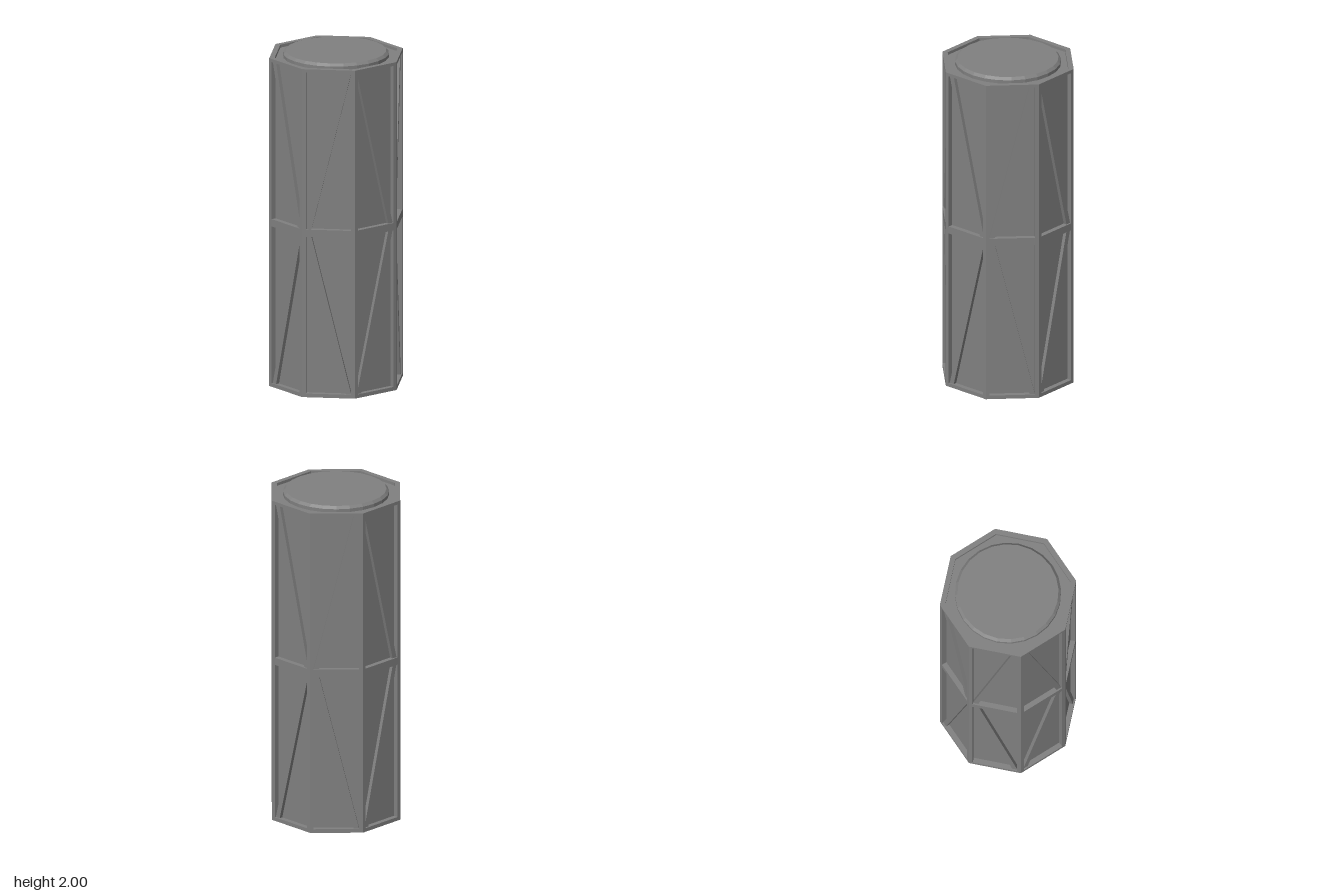
import * as THREE from 'three';

const SIDES = 8, OUT = 0.37, IN = 0.34;      // apothems of frame and core
const HALF = OUT * Math.tan(Math.PI / SIDES); // half width of one face
const A = 0.131;                              // half width of a panel opening
const BOTTOM = 0.018, TOP = 1.982;
const CELLS = [[0.04, 0.978], [1.022, 1.963]];

function polygon(points, Type = THREE.Shape) {
  return new Type(points.map(([x, y]) => new THREE.Vector2(x, y)));
}
const rect = (w, y0, y1) => [[-w, y0], [w, y0], [w, y1], [-w, y1]];

// One face of the outer frame, mitred along its long edges
function frameGeometry() {
  const shape = polygon(rect(HALF, BOTTOM, TOP));
  for (const [y0, y1] of CELLS) shape.holes.push(polygon(rect(A, y0, y1).reverse(), THREE.Path));
  const geo = new THREE.ExtrudeGeometry(shape, { depth: OUT - IN, bevelEnabled: false });
  geo.translate(0, 0, IN);
  const p = geo.attributes.position;
  for (let i = 0; i < p.count; i++) {
    if (Math.abs(p.getX(i)) > HALF - 0.001) {
      p.setX(i, Math.sign(p.getX(i)) * p.getZ(i) * Math.tan(Math.PI / SIDES));
    }
  }
  geo.computeVertexNormals();
  return geo;
}

// Slanted brace across one opening; dir = 1 falls to the right, -1 rises
function braceGeometry([y0, y1], dir) {
  const s = 0.031;
  const pts = [[-A, y1], [A - s, y0], [A, y0], [-A + s, y1]].map(([x, y]) => [x * dir, y]);
  const geo = new THREE.ExtrudeGeometry(polygon(pts), { depth: 0.022, bevelEnabled: false });
  return geo.translate(0, 0, IN - 0.001);
}

export function createModel() {
  const model = new THREE.Group();
  model.name = 'octagonalContainer';
  const metal = new THREE.MeshStandardMaterial({ color: 0x808080, flatShading: true });
  metal.name = 'grey metal';

  const add = (parent, geo, name) => {
    const mesh = new THREE.Mesh(geo, metal);
    mesh.name = name;
    parent.add(mesh);
    return mesh;
  };

  // Recessed octagonal core
  const r = IN / Math.cos(Math.PI / SIDES);
  const core = new THREE.CylinderGeometry(r, r, 1.93, SIDES);
  core.rotateY(Math.PI / SIDES).translate(0, 1, 0);
  add(model, core, 'core');

  // Frame faces with braces that alternate from face to face
  const frame = frameGeometry();
  for (let i = 0; i < SIDES; i++) {
    const side = new THREE.Group();
    side.name = 'side' + (i + 1);
    side.rotation.y = i * Math.PI * 2 / SIDES;
    const dir = i % 2 ? -1 : 1;
    add(side, frame, 'frame');
    add(side, braceGeometry(CELLS[1], dir), 'upperBrace');
    add(side, braceGeometry(CELLS[0], -dir), 'lowerBrace');
    model.add(side);
  }

  // Round bevelled end caps
  const profile = [[0, 1.95], [0.307, 1.95], [0.307, 1.985], [0.292, 2], [0, 2]]
    .map(([x, y]) => new THREE.Vector2(x, y));
  const cap = new THREE.LatheGeometry(profile, 24);
  add(model, cap, 'topCap');
  const lower = add(model, cap, 'bottomCap');
  lower.rotation.x = Math.PI;
  lower.position.y = 2;

  return model;
}
